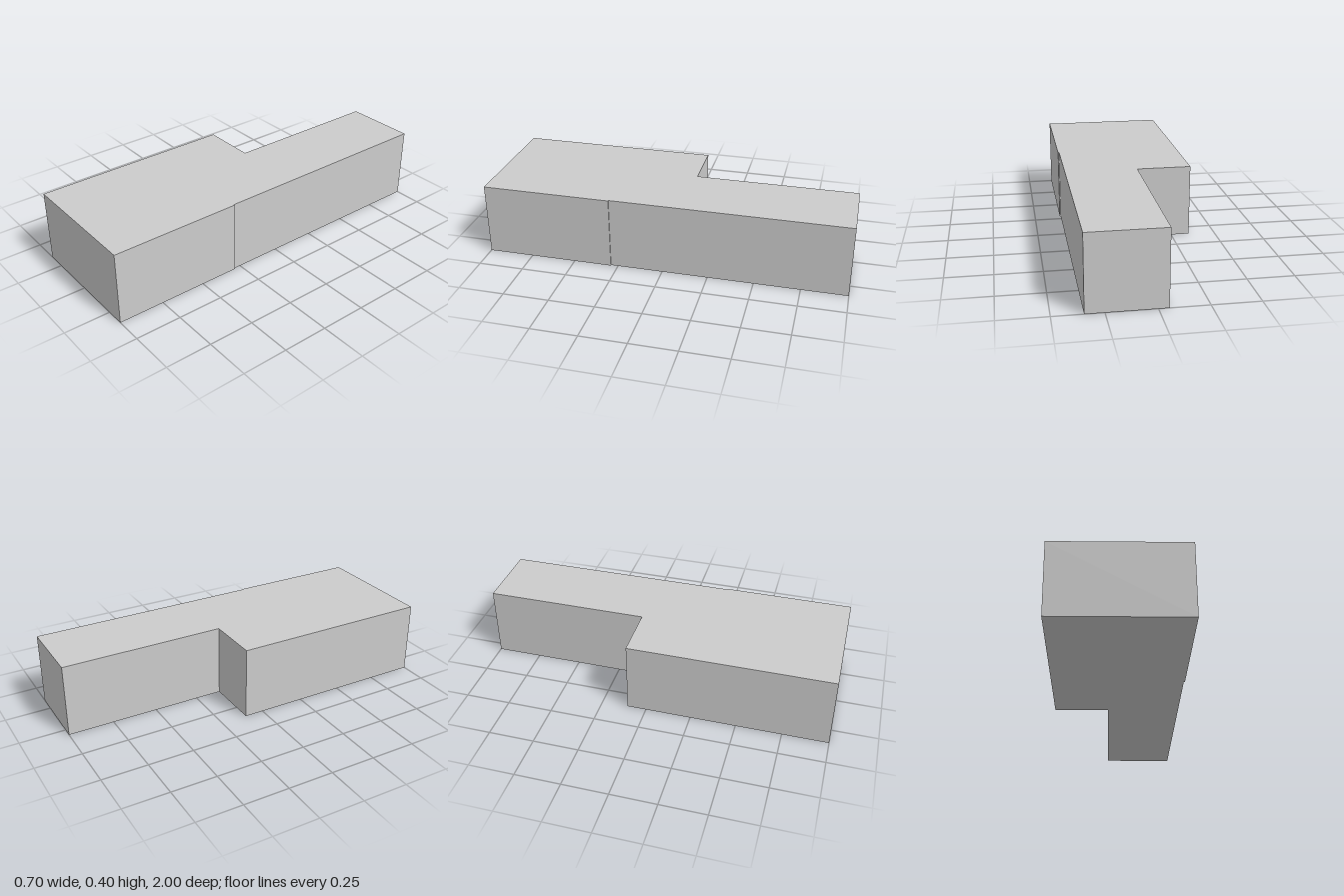
import * as THREE from 'three';

const HEIGHT = 0.4;

// Footprint corners as [x, z]: wide front block, narrow rear wing, slight jog on the left side
const FOOTPRINT = [
  [-0.352, 1], [0.352, 1], [0.352, 0.29], [0.346, 0.29],
  [0.346, -1], [-0.053, -1], [-0.053, -0.105], [-0.352, -0.105],
];

export function createModel() {
  const group = new THREE.Group();
  group.name = 'building';

  // Shape is drawn in x and -z, then laid flat so the extrusion rises along y
  const shape = new THREE.Shape(FOOTPRINT.map(([x, z]) => new THREE.Vector2(x, -z)));
  const geometry = new THREE.ExtrudeGeometry(shape, { depth: HEIGHT, bevelEnabled: false });
  geometry.rotateX(-Math.PI / 2);

  const material = new THREE.MeshStandardMaterial({ color: 0xcccccc, flatShading: true });
  const block = new THREE.Mesh(geometry, material);
  block.name = 'buildingBlock';
  group.add(block);
  return group;
}
